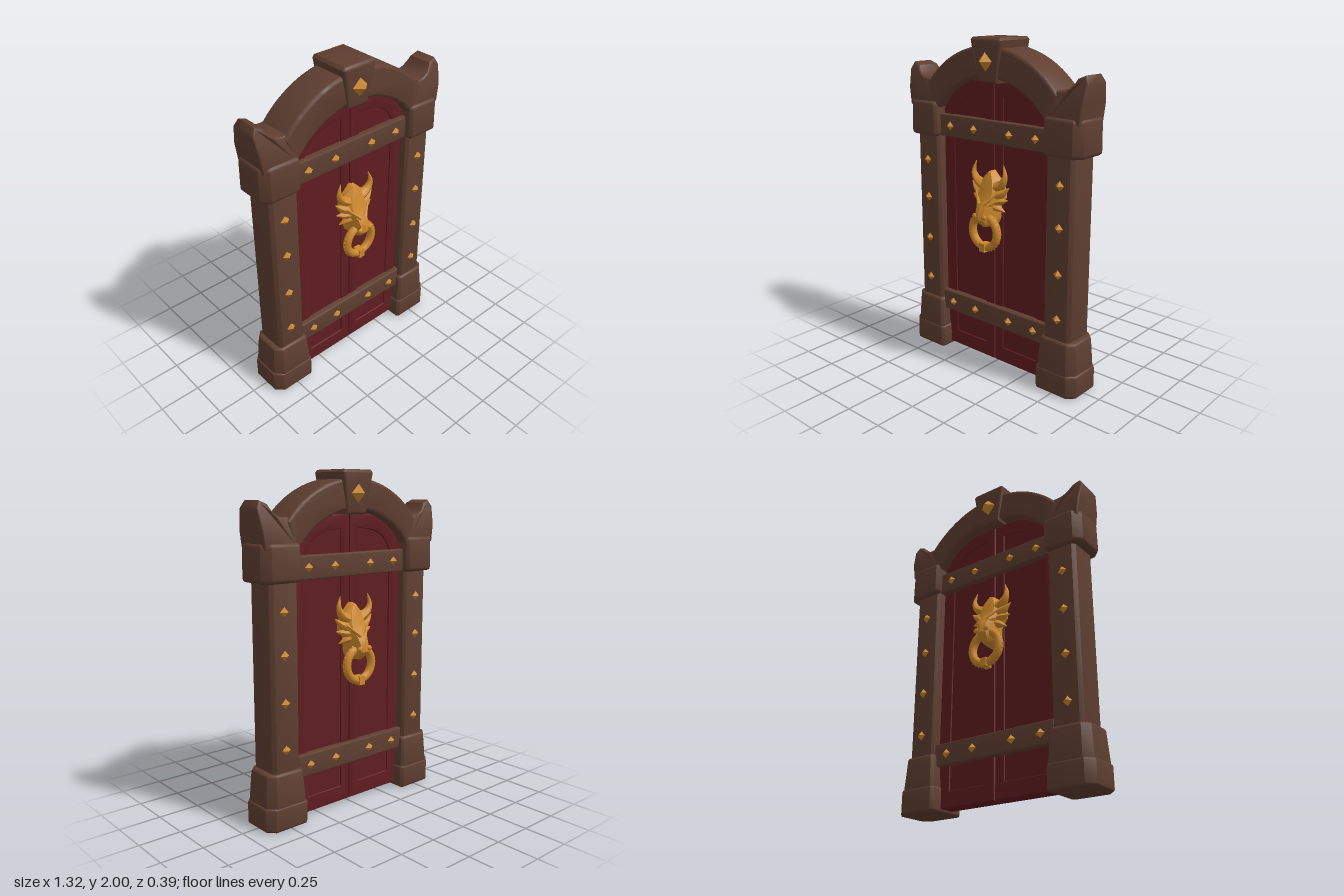
import * as THREE from 'three';
import { toCreasedNormals } from 'three/addons/utils/BufferGeometryUtils.js';

const mat = (name, color) => {
  const m = new THREE.MeshStandardMaterial({ color });
  m.name = name;
  return m;
};

export function createModel() {
  const brown = mat('brown wood', 0x5e3e30);
  const red = mat('red wood', 0x5f1d20);
  const gold = mat('gold', 0xcc882c);
  const model = new THREE.Group();
  model.name = 'door';

  const add = (parent, name, geo, material) => {
    const mesh = new THREE.Mesh(geo, material);
    mesh.name = name;
    parent.add(mesh);
    return mesh;
  };
  const group = (parent, name) => {
    const g = new THREE.Group();
    g.name = name;
    parent.add(g);
    return g;
  };
  const polygon = pts => new THREE.Shape(pts.map(p => new THREE.Vector2(...p)));

  // Bevelled slab of a front outline, reaching from -half to +half in z
  const slab = (shape, half, b, curveSegments = 24) => {
    const g = new THREE.ExtrudeGeometry(shape, { depth: 2 * (half - b), bevelThickness: b,
      bevelSize: b, bevelOffset: -b, bevelSegments: 3, curveSegments });
    return g.translate(0, 0, b - half);
  };
  const smooth = g => toCreasedNormals(g, 0.6);
  const bend = (g, rule) => {
    const p = g.attributes.position, v = new THREE.Vector3();
    for (let i = 0; i < p.count; i++) {
      rule(v.fromBufferAttribute(p, i));
      p.setXYZ(i, v.x, v.y, v.z);
    }
    g.deleteAttribute('normal');
    g.computeVertexNormals();
    return g;
  };
  // Upright block with chamfered outer corners, narrowing by `taper` at its top
  const block = (x0, x1, half, y0, y1, c, taper = 0, b = 0.015) => {
    const k = 0.016, h = y1 - y0;
    const s = polygon([[x0, k - half], [x0 + k, -half], [x1 - c, -half], [x1, c - half],
      [x1, half - c], [x1 - c, half], [x0 + k, half], [x0, half - k]]);
    const g = slab(s, h / 2, b).rotateX(-Math.PI / 2).translate(0, (y0 + y1) / 2, 0);
    const mid = (x0 + x1) / 2;
    return smooth(bend(g, v => {
      const f = 1 - taper * (v.y - y0) / h;
      v.x = mid + (v.x - mid) * f;
      v.z *= f;
    }));
  };
  const stud = (parent, x, y, z, w, h, d) =>
    add(parent, 'stud', new THREE.OctahedronGeometry(1).scale(w, h, d).translate(x, y, z), gold);

  // Tapered tube through a few points
  const horn = (pts, r0, r1 = 0.002) => {
    const curve = new THREE.CatmullRomCurve3(pts.map(p => new THREE.Vector3(...p)));
    const segs = 10, sides = 7;
    const g = new THREE.TubeGeometry(curve, segs, 1, sides);
    const p = g.attributes.position, v = new THREE.Vector3();
    for (let i = 0; i < p.count; i++) {
      const t = Math.floor(i / (sides + 1)) / segs, c = curve.getPointAt(t);
      v.fromBufferAttribute(p, i).sub(c).multiplyScalar(r0 + (r1 - r0) * t).add(c);
      p.setXYZ(i, v.x, v.y, v.z);
    }
    g.computeVertexNormals();
    return g;
  };

  // Side pillars: plinth, base, post, capital, upswept corner
  const cornerShape = new THREE.Shape();
  cornerShape.moveTo(0.412, 1.575);
  cornerShape.lineTo(0.632, 1.575);
  cornerShape.lineTo(0.648, 1.68);
  cornerShape.lineTo(0.659, 1.79);
  cornerShape.lineTo(0.637, 1.832);
  cornerShape.lineTo(0.59, 1.812);
  cornerShape.quadraticCurveTo(0.555, 1.735, 0.473, 1.745);
  for (const side of [0, 1]) {
    const pillar = group(model, side ? 'rightPillar' : 'leftPillar');
    pillar.rotation.y = side * Math.PI;
    add(pillar, 'plinth', block(0.38, 0.652, 0.132, 0, 0.145, 0.045), brown);
    add(pillar, 'base', block(0.385, 0.645, 0.13, 0.11, 0.335, 0.045, 0.12, 0.02), brown);
    add(pillar, 'post', block(0.413, 0.597, 0.1, 0.3, 1.43, 0.02), brown);
    add(pillar, 'capital', block(0.405, 0.65, 0.13, 1.395, 1.61, 0.045, 0.02, 0.025), brown);
    const corner = bend(slab(cornerShape, 0.115, 0.01, 8), v => {
      v.z *= 1 - 0.4 * THREE.MathUtils.clamp((v.y - 1.62) / 0.21, 0, 1) ** 2;
    });
    add(pillar, 'corner', smooth(corner), brown);
    for (const y of [0.46, 0.73, 1.0, 1.24]) {
      for (const s of [-1, 1]) stud(pillar, 0.51, y, s * 0.099, 0.03, 0.03, 0.024);
    }
  }

  // Arch and keystone
  const arch = new THREE.Shape();
  const a0 = Math.asin(0.487 / 0.622), a1 = Math.asin(0.43 / 0.51), up = Math.PI / 2;
  arch.absarc(0, 1.333, 0.622, up - a0, up + a0, false);
  arch.absarc(0, 1.266, 0.51, up + a1, up - a1, true);
  add(model, 'arch', smooth(slab(arch, 0.111, 0.02)), brown);
  const key = polygon([[-0.072, 1.75], [0.072, 1.75], [0.1, 1.9], [0.115, 1.985], [0.1, 2],
    [-0.1, 2], [-0.115, 1.985], [-0.1, 1.9]]);
  const keystone = bend(slab(key, 0.132, 0.02), v => {
    v.z *= 1 - 0.1 * Math.max(0, (1.94 - v.y) / 0.19);
  });
  add(model, 'keystone', smooth(keystone), brown);

  // Two door leaves, each a raised frame round a slightly sunken panel
  for (const side of [0, 1]) {
    const leaf = group(model, side ? 'rightLeaf' : 'leftLeaf');
    leaf.rotation.y = side * Math.PI;
    const frame = new THREE.Shape();
    frame.moveTo(0.003, 0.02);
    frame.lineTo(0.405, 0.02);
    frame.lineTo(0.405, 1.56);
    frame.quadraticCurveTo(0.33, 1.7, 0.2, 1.752);
    frame.lineTo(0.003, 1.752);
    const hole = new THREE.Path();
    hole.moveTo(0.067, 0.115);
    hole.lineTo(0.067, 1.672);
    hole.lineTo(0.16, 1.66);
    hole.quadraticCurveTo(0.28, 1.64, 0.322, 1.53);
    hole.lineTo(0.322, 0.115);
    frame.holes.push(hole);
    add(leaf, 'frame', smooth(slab(frame, 0.052, 0.006)), red);
    add(leaf, 'panel', new THREE.BoxGeometry(0.28, 1.6, 0.088).translate(0.195, 0.89, 0), red);
    // Rebates close the joint between the leaves, save for a narrow slit near the top
    for (const [y0, y1] of [[0.03, 1.55], [1.68, 1.745]]) {
      add(leaf, 'rebate', new THREE.BoxGeometry(0.02, y1 - y0, 0.07)
        .translate(0.009, (y0 + y1) / 2, 0), red);
    }
  }

  // Cross bands with studs
  for (const [y0, y1] of [[0.26, 0.392], [1.4, 1.535]]) {
    const shape = polygon([[-0.412, y0], [0.412, y0], [0.412, y1], [-0.412, y1]]);
    add(model, 'band', smooth(slab(shape, 0.084, 0.01)), brown);
    for (const x of [-0.325, -0.135, 0.135, 0.325]) {
      for (const s of [-1, 1]) stud(model, x, (y0 + y1) / 2, s * 0.083, 0.03, 0.028, 0.024);
    }
  }

  // Beast head lofted from rows of [y, half width, front z]
  const rows = [[1.245, 0.008, 0.07], [1.235, 0.02, 0.1], [1.19, 0.066, 0.118],
    [1.13, 0.09, 0.135], [1.085, 0.09, 0.152], [1.045, 0.062, 0.178], [1.01, 0.055, 0.195],
    [0.965, 0.055, 0.197], [0.935, 0.045, 0.172], [0.915, 0.025, 0.15], [0.905, 0.01, 0.06]];
  const across = [[-1, 0], [-0.97, 0.5], [-0.55, 0.93], [0, 1], [0.55, 0.93], [0.97, 0.5], [1, 0]];
  const headGeometry = () => {
    const pos = [], index = [], n = across.length;
    rows.forEach(([y, w, z], i) => across.forEach(([u, f], j) => {
      pos.push(u * w, y, 0.04 + (z - 0.04) * f);
      if (i < rows.length - 1 && j < n - 1) {
        const a = i * n + j;
        index.push(a, a + n, a + 1, a + 1, a + n, a + n + 1);
      }
    }));
    const g = new THREE.BufferGeometry();
    g.setAttribute('position', new THREE.Float32BufferAttribute(pos, 3));
    g.setIndex(index);
    return toCreasedNormals(g, 0.5);
  };

  // Knocker and keystone gem, on both faces of the door
  for (const face of [0, 1]) {
    const knocker = group(model, face ? 'backKnocker' : 'frontKnocker');
    knocker.rotation.y = face * Math.PI;
    stud(knocker, 0, 1.87, 0.125, 0.052, 0.056, 0.047);
    add(knocker, 'head', headGeometry(), gold);
    for (const s of [-1, 1]) {
      const spike = (name, pts, r) =>
        add(knocker, name, horn(pts.map(([x, y, z]) => [s * x, y, z]), r), gold);
      spike('horn', [[0.045, 1.15, 0.085], [0.095, 1.178, 0.092], [0.12, 1.225, 0.095],
        [0.105, 1.292, 0.09]], 0.038);
      spike('ear', [[0.05, 1.1, 0.09], [0.1, 1.125, 0.092], [0.143, 1.162, 0.085]], 0.042);
      spike('cheekSpike', [[0.04, 1.07, 0.095], [0.09, 1.076, 0.095], [0.135, 1.085, 0.085]], 0.042);
      spike('jawSpike', [[0.03, 1.045, 0.1], [0.07, 1.033, 0.098], [0.114, 1.012, 0.085]], 0.04);
      spike('brow', [[0.015, 1.055, 0.168], [0.045, 1.085, 0.147], [0.085, 1.125, 0.118]], 0.014);
      add(knocker, 'nostril', new THREE.SphereGeometry(0.018, 8, 6)
        .scale(1, 0.9, 0.6).translate(s * 0.036, 0.985, 0.186), gold);
    }
    // Ring with small spines and a clasp
    const ring = group(knocker, 'ring');
    ring.position.set(0, 0.885, 0.138);
    add(ring, 'hoop', new THREE.TorusGeometry(0.096, 0.025, 8, 36), gold);
    add(ring, 'clasp', new THREE.BoxGeometry(0.04, 0.052, 0.056).translate(0, -0.096, 0), gold);
    for (let i = 0; i < 28; i++) {
      const spine = add(ring, 'spine', new THREE.ConeGeometry(0.009, 0.01, 4).translate(0, 0.122, 0), gold);
      spine.rotation.z = i / 28 * Math.PI * 2;
    }
  }
  return model;
}
